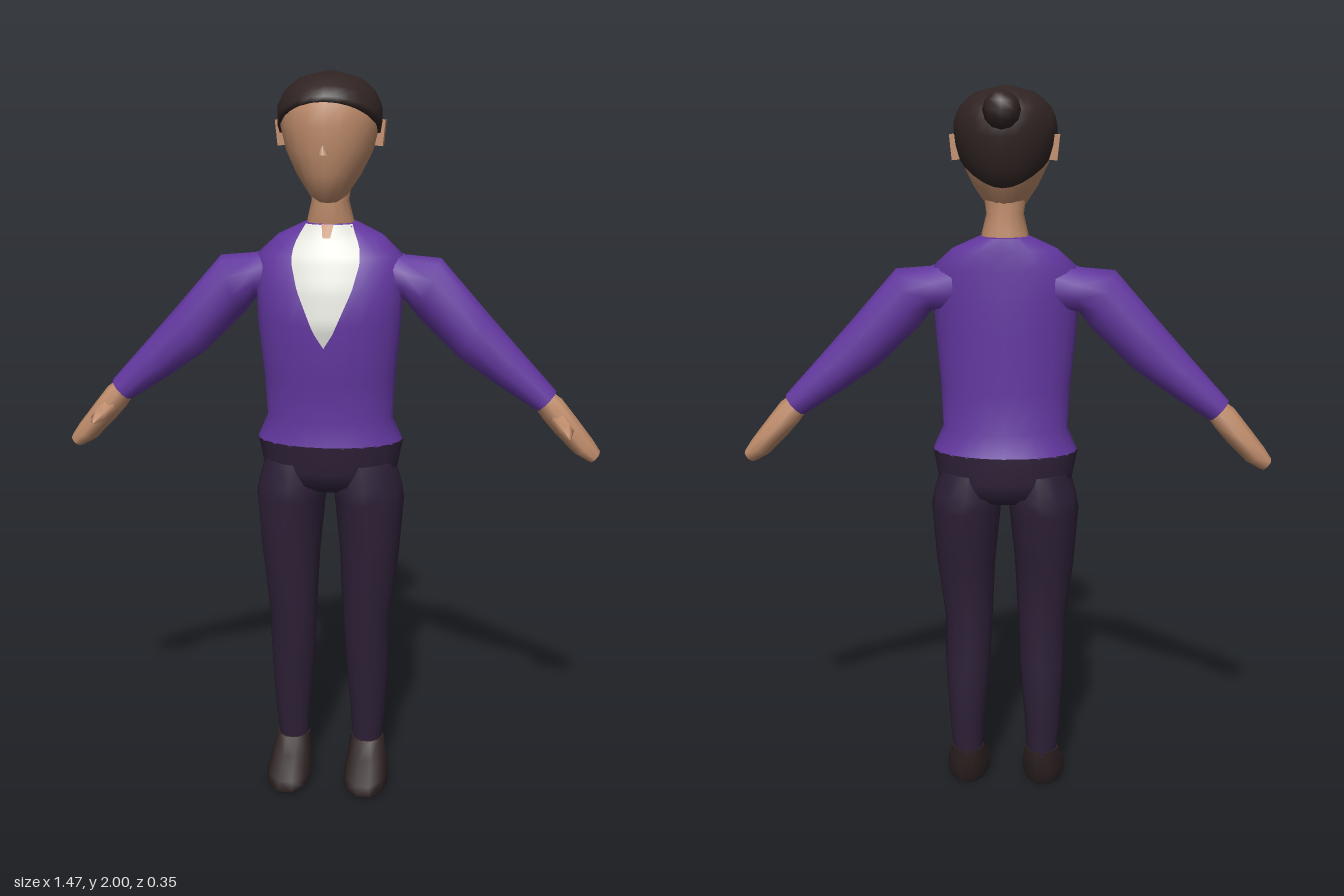
import * as THREE from 'three';

const mat = (name, color, side = THREE.FrontSide) => {
  const m = new THREE.MeshStandardMaterial({ color, side });
  m.name = name;
  return m;
};

// Quad grid from rows of points; wrap joins the last column to the first
function grid(rows, wrap, caps = false) {
  const n = rows[0].length, pos = rows.flat(2), idx = [];
  for (let i = 0; i < rows.length - 1; i++) {
    for (let j = 0; j < (wrap ? n : n - 1); j++) {
      const k = (j + 1) % n, a = i * n + j, b = i * n + k, c = a + n, d = b + n;
      idx.push(a, b, d, a, d, c);
    }
  }
  if (caps) {
    for (const [row, flip] of [[rows[0], true], [rows[rows.length - 1], false]]) {
      const base = pos.length / 3;
      pos.push(...row.flat());
      for (let j = 1; j < n - 1; j++) idx.push(base, base + (flip ? j + 1 : j), base + (flip ? j : j + 1));
    }
  }
  const g = new THREE.BufferGeometry();
  g.setAttribute('position', new THREE.Float32BufferAttribute(pos, 3));
  g.setIndex(idx);
  g.computeVertexNormals();
  return g;
}

// Oval ring from centre c and half axes u, v
const ring = (c, u, v, n) => Array.from({ length: n }, (_, j) => {
  const a = (j / n) * Math.PI * 2;
  return c.map((q, k) => q + u[k] * Math.cos(a) + v[k] * Math.sin(a));
});

// Upright loft; sections are [y, xMin, xMax, zMin, zMax], bottom to top
const upright = (sections, n) => grid(sections.map(([y, x0, x1, z0, z1]) =>
  ring([(x0 + x1) / 2, y, (z0 + z1) / 2], [(x1 - x0) / 2, 0, 0], [0, 0, -(z1 - z0) / 2], n)), true, true);

// Limb loft; sections are [topX, topY, bottomX, bottomY, zCentre, zHalf], going outward
const limb = (sections, n) => grid(sections.map(([tx, ty, bx, by, z, h]) =>
  ring([(tx + bx) / 2, (ty + by) / 2, z], [(tx - bx) / 2, (ty - by) / 2, 0], [0, 0, h], n)), true, true);

const symmetric = (s) => s.map(([y, hx, z0, z1]) => [y, -hx, hx, z0, z1]);

// Linear lookup in a table whose first column rises
function sample(table, y) {
  let i = 0;
  while (i < table.length - 2 && y > table[i + 1][0]) i++;
  const t = THREE.MathUtils.clamp((y - table[i][0]) / (table[i + 1][0] - table[i][0]), 0, 1);
  return table[i].map((v, k) => v + (table[i + 1][k] - v) * t);
}

function mirrored(geo) {
  const g = geo.clone(), p = g.attributes.position, ix = g.index.array;
  for (let i = 0; i < p.count; i++) p.setX(i, -p.getX(i));
  for (let i = 0; i < ix.length; i += 3) [ix[i + 1], ix[i + 2]] = [ix[i + 2], ix[i + 1]];
  g.computeVertexNormals();
  return g;
}

export function createModel() {
  const model = new THREE.Group();
  const skin = mat('skin', 0xbf8c6b);
  const jumper = mat('purple jumper', 0x6337a0);
  const shirt = mat('white shirt', 0xdfdfd8, THREE.DoubleSide);
  const trousers = mat('dark trousers', 0x2e2138);
  const hair = mat('dark hair', 0x302423, THREE.DoubleSide);
  const shoe = mat('dark shoes', 0x302424);

  const add = (name, geo, material) => {
    const m = new THREE.Mesh(geo, material);
    m.name = name;
    model.add(m);
    return m;
  };
  const pair = (name, geo, material) => {
    add(name + 'Left', geo, material);
    add(name + 'Right', mirrored(geo), material);
  };

  // Torso: [y, halfWidth, back, front]
  const torso = [
    [1.025, 0.2, -0.117, 0.14], [1.09, 0.172, -0.095, 0.13], [1.2, 0.178, -0.092, 0.142],
    [1.36, 0.193, -0.095, 0.165], [1.45, 0.197, -0.095, 0.148], [1.53, 0.195, -0.092, 0.12],
    [1.58, 0.14, -0.09, 0.088], [1.612, 0.07, -0.085, 0.062],
  ];
  add('torso', upright(symmetric(torso), 24), jumper);

  // Thin panel hugging the chest, outlined by [y, halfWidth]
  const chestPanel = (outline, lift) => {
    const rows = [], y0 = outline[0][0], y1 = outline[outline.length - 1][0];
    for (let i = 0; i <= 16; i++) {
      const y = y0 + ((y1 - y0) * i) / 16, w = sample(outline, y)[1];
      const [, hx, zb, zf] = sample(torso, y);
      rows.push(Array.from({ length: 9 }, (_, j) => {
        const x = w * (j / 4 - 1);
        return [x, y, (zb + zf) / 2 + ((zf - zb) / 2) * Math.sqrt(Math.max(0, 1 - (x / hx) ** 2)) + lift];
      }));
    }
    return grid(rows, false);
  };
  add('shirtFront', chestPanel([[1.3, 0], [1.34, 0.025], [1.45, 0.072], [1.52, 0.09], [1.56, 0.086], [1.61, 0.062]], 0.004), shirt);
  add('throat', chestPanel([[1.578, 0.01], [1.612, 0.016]], 0.007), skin);

  // Neck and head
  add('neck', upright(symmetric([[1.57, 0.065, -0.055, 0.05], [1.62, 0.062, -0.055, 0.06], [1.67, 0.05, -0.045, 0.06], [1.74, 0.06, -0.05, 0.06]]), 14), skin);
  const skull = [
    [1.668, 0.03, 0.01, 0.085], [1.685, 0.055, -0.04, 0.125], [1.74, 0.092, -0.09, 0.148],
    [1.8, 0.121, -0.117, 0.161], [1.86, 0.136, -0.13, 0.165], [1.91, 0.136, -0.133, 0.162],
    [1.95, 0.117, -0.118, 0.145], [1.982, 0.077, -0.08, 0.095], [2.0, 0, 0.005, 0.005],
  ];
  add('head', upright(symmetric(skull.slice(0, 7).map(([y, w, b, f]) => [y, w - 0.007, b + 0.007, f - 0.007])), 20), skin);
  const nose = add('nose', new THREE.ConeGeometry(0.014, 0.035, 4), skin);
  nose.position.set(0, 1.81, 0.152);
  nose.scale.z = 0.9;
  for (const s of [-1, 1]) {
    const ear = add(s > 0 ? 'earLeft' : 'earRight', new THREE.BoxGeometry(0.03, 0.066, 0.042), skin);
    ear.position.set(s * 0.126, 1.843, -0.002);
    ear.rotation.z = -s * 0.1;
  }

  // Hair cap with a hairline sloping down to the nape, and a tucked lower lip
  const hairRows = [];
  for (let i = -1; i <= 9; i++) {
    const t = Math.sin((Math.max(i, 0) / 9) * Math.PI / 2), inset = i < 0 ? 0.02 : 0;
    hairRows.push(Array.from({ length: 24 }, (_, j) => {
      const a = (j / 24) * Math.PI * 2, front = -Math.sin(a);
      const line = 1.842 + (front > 0 ? 0.08 : 0.1) * front;
      const y = line + (2 - line) * t;
      const [, hx, zb, zf] = sample(skull, y);
      return [(hx - inset) * Math.cos(a), y, (zb + zf) / 2 + ((zf - zb) / 2 - inset) * front];
    }));
  }
  add('hair', grid(hairRows, true), hair);
  const bun = add('hairBun', new THREE.SphereGeometry(0.049, 8, 6), hair);
  bun.position.set(0, 1.938, -0.13);

  // Arms, hands and thumbs
  pair('sleeve', limb([
    [0.13, 1.56, 0.14, 1.41, 0.005, 0.07], [0.2, 1.53, 0.2, 1.41, 0.01, 0.066],
    [0.295, 1.522, 0.235, 1.365, 0.012, 0.058], [0.42, 1.38, 0.345, 1.258, 0.012, 0.05],
    [0.51, 1.28, 0.45, 1.185, 0.01, 0.045], [0.61, 1.17, 0.56, 1.115, 0.008, 0.036],
  ], 10), jumper);
  pair('hand', limb([
    [0.59, 1.175, 0.55, 1.13, 0.008, 0.03], [0.625, 1.15, 0.575, 1.095, 0.008, 0.036],
    [0.665, 1.1, 0.61, 1.055, 0.008, 0.05], [0.712, 1.04, 0.665, 1.0, 0.01, 0.05],
    [0.733, 1.008, 0.705, 0.978, 0.01, 0.034],
  ], 8), skin);
  const thumb = [[0.612, 1.1, 0.03, 0.024], [0.637, 1.078, 0.07, 0.02], [0.645, 1.066, 0.104, 0.004]];
  pair('thumb', grid(thumb.map(([x, y, z, r]) => ring([x, y, z], [r, 0, 0], [0, r, 0], 5)), true, true), skin);

  // Hips and legs
  add('hips', upright(symmetric([
    [0.885, 0.15, -0.07, 0.08], [0.91, 0.185, -0.105, 0.12], [0.95, 0.186, -0.116, 0.132], [1.027, 0.201, -0.118, 0.141],
  ]), 20), trousers);
  pair('leg', upright([
    [0.11, 0.065, 0.15, -0.045, 0.045], [0.2, 0.06, 0.16, -0.05, 0.055], [0.39, 0.042, 0.171, -0.07, 0.076],
    [0.52, 0.037, 0.172, -0.045, 0.09], [0.7, 0.028, 0.194, -0.085, 0.11], [0.86, 0.012, 0.206, -0.108, 0.128],
    [0.9, 0.002, 0.2, -0.112, 0.13], [0.97, 0.01, 0.18, -0.1, 0.12],
  ], 12), trousers);

  // Shoes
  pair('shoe', upright([
    [0.008, 0.058, 0.166, -0.012, 0.165], [0.018, 0.05, 0.174, -0.018, 0.175], [0.05, 0.048, 0.174, -0.032, 0.175],
    [0.09, 0.055, 0.165, -0.042, 0.1], [0.128, 0.06, 0.156, -0.048, 0.052],
  ], 10), shoe);

  // Rest the soles on the ground
  model.children.forEach((m) => { if (m.name.startsWith('shoe')) m.position.y = -0.004; });
  return model;
}
